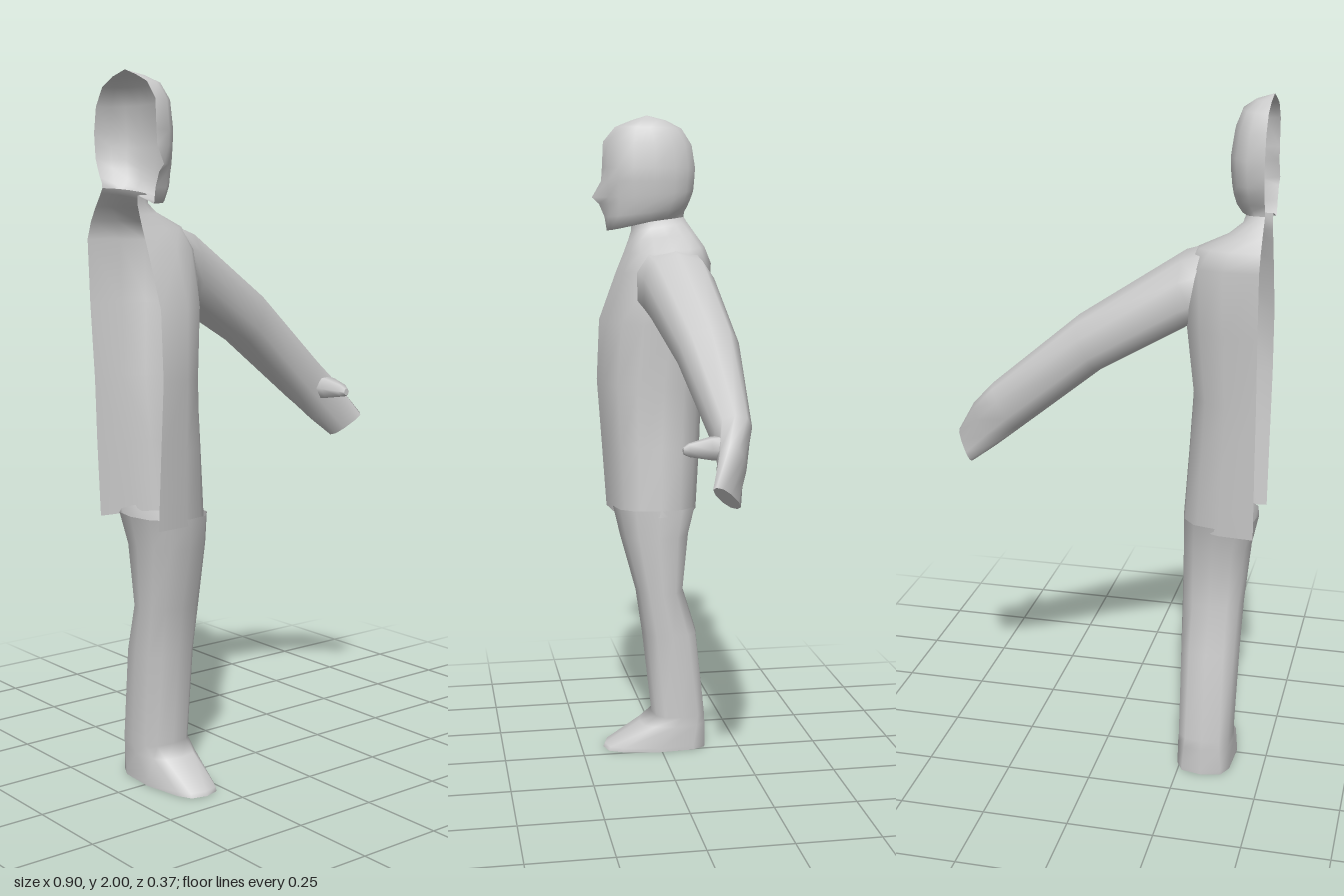
import * as THREE from 'three';

const CUT = -0.455; // open centre plane of the half figure
const pow = (v, e) => Math.sign(v) * Math.abs(v) ** e;
const material = new THREE.MeshStandardMaterial({ color: 0xcccccc, side: THREE.DoubleSide });

// Skin a list of equally long rings; optionally close each ring and cap the last one
function loft(name, rings, closed, cap) {
  const n = rings[0].length, index = [], points = rings.flat();
  for (let i = 0; i < rings.length - 1; i++) {
    for (let j = 0; j < (closed ? n : n - 1); j++) {
      const k = (j + 1) % n;
      const a = i * n + j, b = i * n + k, c = a + n, d = b + n;
      index.push(a, c, b, b, c, d);
    }
  }
  if (cap) {
    const last = rings[rings.length - 1], start = points.length;
    const centre = last.reduce((s, p) => s.add(p), new THREE.Vector3()).divideScalar(n);
    points.push(...last.map((p) => p.clone()), centre);
    for (let j = 0; j < n; j++) index.push(start + j, start + n, start + (j + 1) % n);
  }
  const geometry = new THREE.BufferGeometry().setFromPoints(points);
  geometry.setIndex(index);
  geometry.computeVertexNormals();
  const mesh = new THREE.Mesh(geometry, material);
  mesh.name = name;
  return mesh;
}

// Half ring from the front of the cut plane, round the side, to the back
function halfRing([yF, yB, zF, zM, zB, w, nose = 0]) {
  return Array.from({ length: 9 }, (_, j) => {
    const t = (j / 8) * Math.PI, c = pow(Math.cos(t), 0.85);
    const z = zM + (c > 0 ? c * (zF - zM) : -c * (zB - zM)) + (j === 0 ? nose : 0);
    return new THREE.Vector3(CUT + w * Math.abs(Math.sin(t)) ** 0.85, yB + (yF - yB) * (c + 1) / 2, z);
  });
}

// Level, slightly boxy ring for the leg and foot
function legRing([y, x0, x1, zF, zB, e, toe = 0]) {
  return Array.from({ length: 12 }, (_, j) => {
    const t = (j / 12) * Math.PI * 2, c = pow(Math.cos(t), e), s = pow(Math.sin(t), e);
    const narrow = 1 - toe * Math.max(c, 0);
    return new THREE.Vector3((x0 + x1) / 2 + s * narrow * (x1 - x0) / 2, y, (zF + zB) / 2 + c * (zF - zB) / 2);
  });
}

// Ring spanning a top and a bottom point, with a depth range and a lean in z
function armRing([xT, yT, xB, yB, zB, zF, lean = 0]) {
  return Array.from({ length: 10 }, (_, j) => {
    const t = (j / 10) * Math.PI * 2, c = pow(Math.cos(t), 0.85), s = pow(Math.sin(t), 0.85);
    return new THREE.Vector3(
      (xT + xB) / 2 + c * (xT - xB) / 2,
      (yT + yB) / 2 + c * (yT - yB) / 2,
      (zB + zF) / 2 - s * (zF - zB) / 2 + lean * c);
  });
}

export function createModel() {
  const model = new THREE.Group();
  model.name = 'halfFigure';

  // Head, with nose and chin, running into the neck: yFront, yBack, zFront, zMiddle, zBack, width, nose
  const head = [
    [2.0, 2.0, 0.012, 0.01, 0.008, 0.002],
    [1.985, 1.985, 0.06, 0.01, -0.05, 0.05],
    [1.965, 1.96, 0.11, 0.01, -0.1, 0.083],
    [1.92, 1.91, 0.148, 0, -0.132, 0.1],
    [1.84, 1.84, 0.152, 0, -0.143, 0.11],
    [1.8, 1.8, 0.15, 0, -0.14, 0.108, 0.005],
    [1.75, 1.77, 0.148, 0, -0.137, 0.104, 0.036],
    [1.73, 1.745, 0.146, 0, -0.128, 0.1, 0.016],
    [1.69, 1.72, 0.145, 0.01, -0.117, 0.092],
    [1.648, 1.705, 0.138, 0.01, -0.108, 0.076],
    [1.67, 1.69, 0.062, -0.02, -0.106, 0.062],
  ];
  const neckAndTorso = [
    head[head.length - 1],
    [1.645, 1.675, 0.062, -0.03, -0.115, 0.068],
    [1.62, 1.64, 0.07, -0.04, -0.14, 0.105],
    [1.58, 1.6, 0.085, -0.04, -0.165, 0.19],
    [1.52, 1.55, 0.11, -0.04, -0.184, 0.228],
    [1.37, 1.37, 0.165, -0.03, -0.175, 0.222],
    [1.18, 1.16, 0.174, -0.01, -0.157, 0.2],
    [0.98, 0.98, 0.16, 0, -0.15, 0.212],
    [0.77, 0.77, 0.146, 0.005, -0.137, 0.226],
  ];
  model.add(loft('head', head.map(halfRing)));
  model.add(loft('neckAndTorso', neckAndTorso.map(halfRing)));

  // Leg and foot: y, inner x, outer x, zFront, zBack, squareness, toe narrowing
  const leg = [
    [0.79, -0.452, -0.23, 0.14, -0.125, 0.85],
    [0.7, -0.433, -0.23, 0.12, -0.1, 0.85],
    [0.52, -0.417, -0.232, 0.072, -0.079, 0.85],
    [0.38, -0.413, -0.236, 0.052, -0.122, 0.8],
    [0.11, -0.406, -0.24, 0.022, -0.15, 0.7],
    [0.08, -0.406, -0.238, 0.062, -0.152, 0.65, 0.1],
    [0.012, -0.408, -0.236, 0.175, -0.154, 0.55, 0.28],
    [0, -0.408, -0.236, 0.18, -0.154, 0.55, 0.28],
  ];
  model.add(loft('legAndFoot', leg.map(legRing), true, true));

  // Arm and mitten hand: top x, y, bottom x, y, zBack, zFront, lean
  const arm = [
    [-0.29, 1.597, -0.25, 1.37, -0.16, 0.075],
    [-0.235, 1.582, -0.225, 1.355, -0.165, 0.06],
    [0.06, 1.39, 0.0, 1.232, -0.183, 0],
    [0.315, 1.175, 0.235, 1.045, -0.166, -0.055],
    [0.385, 1.1, 0.31, 0.985, -0.135, -0.055, 0.015],
    [0.448, 1.0, 0.388, 0.927, -0.09, -0.045, 0.035],
  ];
  model.add(loft('armAndHand', arm.map(armRing), true, true));

  // Thumb pointing forward: x, y, z, half width, half height
  const thumb = [
    [0.325, 1.085, -0.11, 0.045, 0.04],
    [0.328, 1.085, -0.04, 0.036, 0.034],
    [0.328, 1.082, 0.02, 0.02, 0.02],
    [0.328, 1.08, 0.036, 0.01, 0.01],
  ];
  model.add(loft('thumb', thumb.map(([x, y, z, w, h]) => Array.from({ length: 6 }, (_, j) => {
    const t = (j / 6) * Math.PI * 2;
    return new THREE.Vector3(x + w * Math.cos(t), y - h * Math.sin(t), z);
  })), true, true));

  return model;
}
